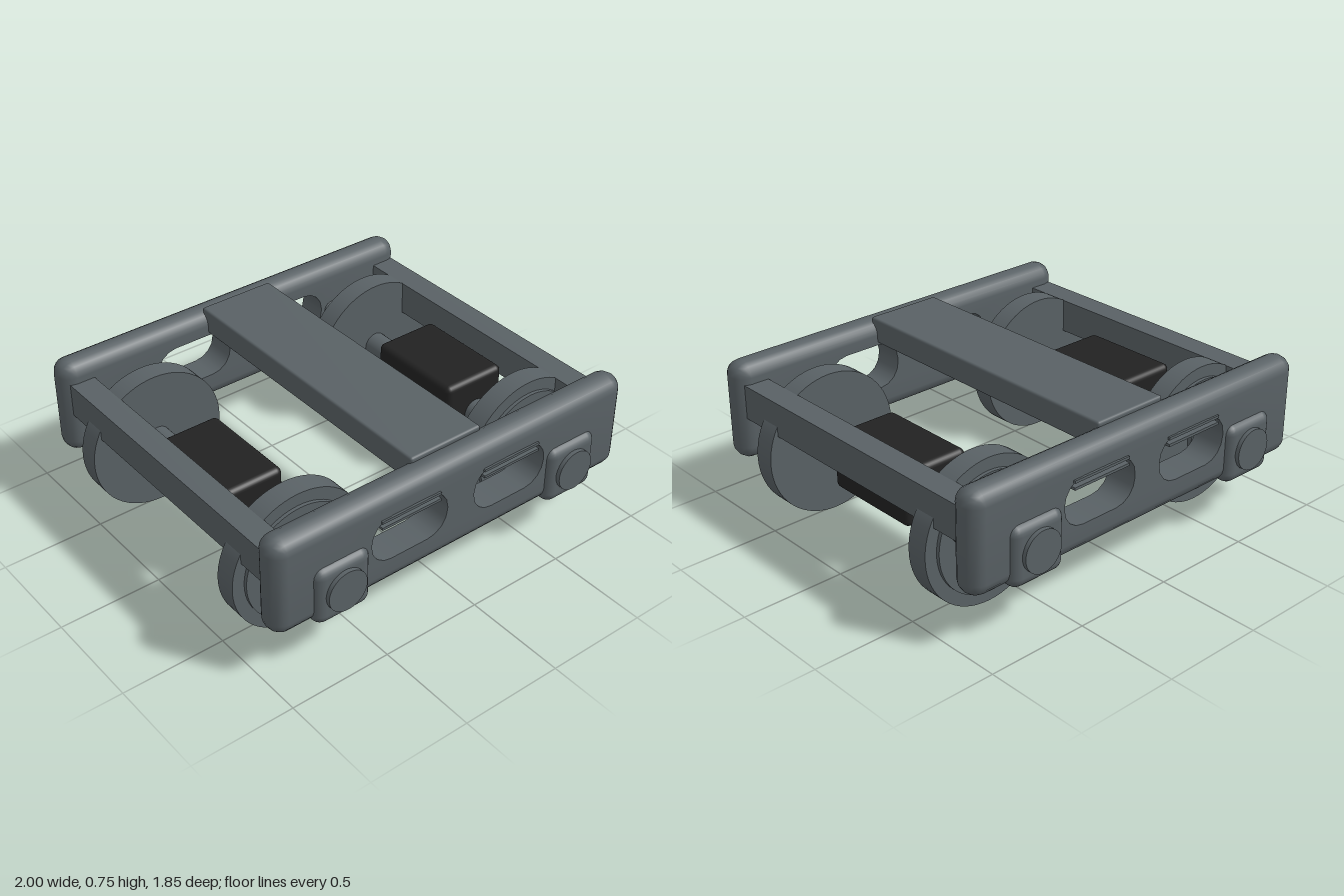
import * as THREE from 'three';
import { toCreasedNormals } from 'three/addons/utils/BufferGeometryUtils.js';
import { RoundedBoxGeometry } from 'three/addons/geometries/RoundedBoxGeometry.js';

const steel = new THREE.MeshStandardMaterial({ color: 0x596165 });
steel.name = 'steel grey';
const black = new THREE.MeshStandardMaterial({ color: 0x222222 });
black.name = 'black';

function add(parent, name, geometry, material, x, y, z) {
  const mesh = new THREE.Mesh(geometry, material);
  mesh.name = name;
  mesh.position.set(x, y, z);
  parent.add(mesh);
  return mesh;
}

// Cylinder lying along z
function rod(radius, length, sides = 48) {
  return new THREE.CylinderGeometry(radius, radius, length, sides).rotateX(Math.PI / 2);
}

// Trace a rounded rectangle centred on (cx, cy) onto a shape or path
function roundedRect(path, cx, cy, w, h, r, n) {
  const points = [];
  [[1, 1], [-1, 1], [-1, -1], [1, -1]].forEach(([sx, sy], corner) => {
    for (let i = 0; i <= n; i++) {
      const a = (corner + i / n) * Math.PI / 2;
      points.push(new THREE.Vector2(
        cx + sx * (w / 2 - r) + r * Math.cos(a),
        cy + sy * (h / 2 - r) + r * Math.sin(a)));
    }
  });
  return path.setFromPoints(points);
}

// Side plate with a rounded rim and two sharp-edged windows
function sideFrameGeometry() {
  const w = 1.97, h = 0.49, half = 0.076, r = 0.07;
  const shape = roundedRect(new THREE.Shape(), 0, 0, w, h, r, 4);
  for (const s of [-1, 1]) {
    shape.holes.push(roundedRect(new THREE.Path(), s * 0.283, 0.01, 0.415, 0.23, 0.108, 4));
  }
  const g = new THREE.ExtrudeGeometry(shape, { depth: 2, steps: 8, bevelEnabled: false });
  const p = g.attributes.position;
  for (let i = 0; i < p.count; i++) {
    const a = (p.getZ(i) - 1) * Math.PI / 2;
    const x = p.getX(i), y = p.getY(i);
    const ix = THREE.MathUtils.clamp(x, r - w / 2, w / 2 - r);
    const iy = THREE.MathUtils.clamp(y, r - h / 2, h / 2 - r);
    const f = Math.max(Math.cos(a), 0.02);
    p.setXYZ(i, ix + (x - ix) * f, iy + (y - iy) * f, half * Math.sin(a));
  }
  return toCreasedNormals(g, 0.6);
}

// One wheel; its outer face points along +z
function makeWheel() {
  const wheel = new THREE.Group();
  wheel.name = 'wheel';
  add(wheel, 'wheelDisc', rod(0.345, 0.105, 64), steel, 0, 0, 0.5425);
  add(wheel, 'wheelPlate', rod(0.285, 0.02, 64), steel, 0, 0, 0.602);
  add(wheel, 'wheelHub', rod(0.093, 0.04), steel, 0, 0, 0.615);
  for (let i = 0; i < 5; i++) {
    const a = Math.PI / 2 + i * Math.PI * 2 / 5;
    add(wheel, 'wheelBolt', rod(0.031, 0.01, 16), black, 0.19 * Math.cos(a), 0.19 * Math.sin(a), 0.614);
  }
  return wheel;
}

export function createModel() {
  const model = new THREE.Group();
  model.name = 'railTruck';

  // Wheelsets, each with a motor and an end beam
  for (const s of [-1, 1]) {
    const x = s * 0.655;
    const wheelset = new THREE.Group();
    wheelset.name = 'wheelset';
    wheelset.position.set(x, 0.345, 0);
    model.add(wheelset);
    add(wheelset, 'axle', rod(0.062, 1.5, 32), steel, 0, 0.005, 0);
    for (const side of [0, 1]) {
      const wheel = makeWheel();
      if (side) wheel.rotation.y = Math.PI;
      wheelset.add(wheel);
    }
    add(model, 'motor', new RoundedBoxGeometry(0.34, 0.275, 0.515, 3, 0.03), black, s * 0.65, 0.4025, 0);
    add(model, 'endBeam', new THREE.BoxGeometry(0.122, 0.167, 1.5), steel, s * 0.89, 0.557, 0);
  }

  // Central bolster across both side frames
  add(model, 'bolster', new RoundedBoxGeometry(0.39, 0.125, 1.535, 2, 0.012), steel, 0, 0.6925, 0);

  // Side assemblies, front and back
  const frameGeometry = sideFrameGeometry();
  for (const side of [0, 1]) {
    const assembly = new THREE.Group();
    assembly.name = side ? 'backSide' : 'frontSide';
    assembly.rotation.y = side * Math.PI;
    model.add(assembly);
    add(assembly, 'sideFrame', frameGeometry, steel, 0, 0.495, 0.799);
    for (const s of [-1, 1]) {
      add(assembly, 'journalBox', new RoundedBoxGeometry(0.29, 0.295, 0.215, 3, 0.05), steel, s * 0.652, 0.387, 0.7975);
      add(assembly, 'journalCap', rod(0.1, 0.04), steel, s * 0.652, 0.39, 0.905);
      // Spring leaves at the top of each window
      for (const y of [0.612, 0.58]) {
        add(assembly, 'springLeaf', new THREE.BoxGeometry(0.32, 0.013, 0.075), steel, s * 0.283, y, 0.847);
      }
    }
  }
  return model;
}
